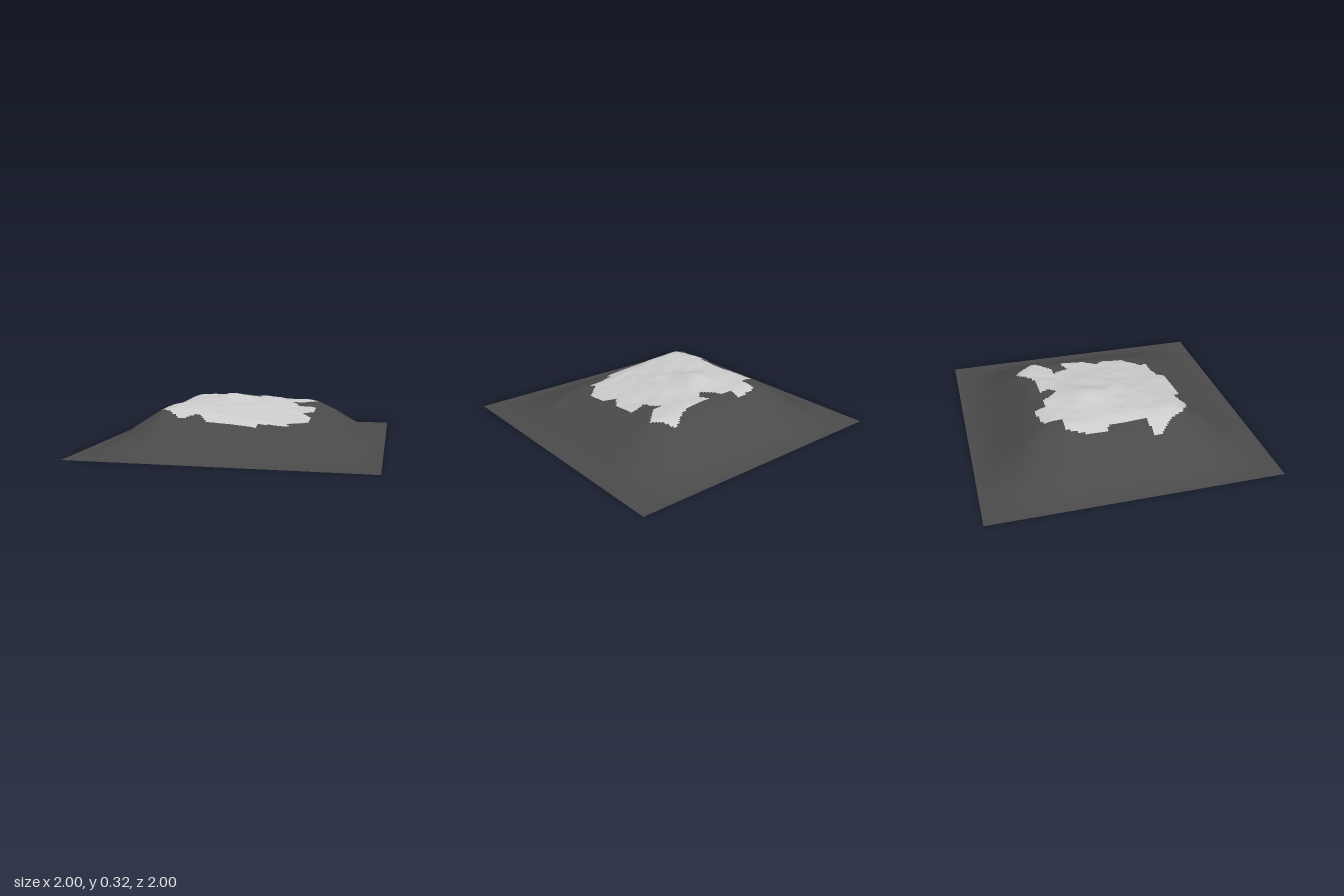
import * as THREE from 'three';

const CELLS = 128;

// Broad plateau heights: rows run back to front, columns run -x to +x
const PLATEAU = [
  [0.28, 0.29, 0.29, 0.26, 0.25],
  [0.28, 0.28, 0.275, 0.25, 0.24],
  [0.29, 0.28, 0.275, 0.215, 0.23],
  [0.30, 0.275, 0.235, 0.185, 0.20],
  [0.26, 0.23, 0.22, 0.19, 0.20],
];

// Outline of the pale summit patch (x, z)
const PATCH = [
  [-0.39, -0.5], [-0.2, -0.54], [-0.2, -0.46], [-0.12, -0.46], [-0.08, -0.4], [-0.03, -0.35],
  [0, -0.35], [0.03, -0.39], [0, -0.45], [0.2, -0.455], [0.27, -0.48], [0.38, -0.56],
  [0.42, -0.55], [0.44, -0.49], [0.5, -0.43], [0.36, -0.29], [0.3, -0.29], [0.33, -0.25],
  [0.36, -0.17], [0.45, -0.21], [0.48, -0.2], [0.48, -0.02], [0.42, 0.06], [0.48, 0.13],
  [0.48, 0.3], [0.36, 0.42], [0.38, 0.47], [0.17, 0.48], [0.17, 0.55], [-0.15, 0.55],
  [-0.24, 0.48], [-0.35, 0.54], [-0.48, 0.45], [-0.51, 0.38], [-0.62, 0.27], [-0.62, 0.2],
  [-0.5, 0.19], [-0.5, -0.07], [-0.55, -0.11], [-0.54, -0.24], [-0.5, -0.37], [-0.39, -0.38],
];

const { clamp, smoothstep, lerp } = THREE.MathUtils;

// Catmull-Rom interpolation through evenly spaced values
function spline(values, t) {
  const i = clamp(Math.floor(t), 0, values.length - 2);
  const f = t - i;
  const at = (k) => values[clamp(k, 0, values.length - 1)];
  const [a, b, c, d] = [at(i - 1), at(i), at(i + 1), at(i + 2)];
  return b + 0.5 * f * (c - a + f * (2 * a - 5 * b + 4 * c - d + f * (3 * (b - c) + d - a)));
}

function hash(i, j) {
  const s = Math.sin(i * 127.1 + j * 311.7) * 43758.5453;
  return (s - Math.floor(s)) * 2 - 1;
}

// Smooth value noise in -1..1
function noise(x, z) {
  const i = Math.floor(x), j = Math.floor(z);
  const u = smoothstep(x - i, 0, 1), v = smoothstep(z - j, 0, 1);
  return lerp(lerp(hash(i, j), hash(i + 1, j), u), lerp(hash(i, j + 1), hash(i + 1, j + 1), u), v);
}

function heightAt(x, z) {
  const edge = smoothstep(1 - Math.abs(x), 0, 0.6) * smoothstep(1 - Math.abs(z), 0, 0.6);
  const u = clamp((x + 0.8) / 0.4, 0, 4), v = clamp((z + 0.8) / 0.4, 0, 4);
  const base = spline(PLATEAU.map((row) => spline(row, u)), v);
  const peak = 0.037 * Math.exp(-((x + 0.15) ** 2 + (z + 0.15) ** 2) / 0.02);
  const rough = 0.006 * noise(x * 8, z * 8) + 0.003 * noise(x * 17 + 40, z * 17);
  return edge * (base + peak + rough);
}

function insidePatch(x, z) {
  let inside = false;
  PATCH.forEach(([ax, az], k) => {
    const [bx, bz] = PATCH[(k + 1) % PATCH.length];
    if (az > z !== bz > z && x < ax + ((z - az) * (bx - ax)) / (bz - az)) inside = !inside;
  });
  return inside;
}

export function createModel() {
  const model = new THREE.Group();
  model.name = 'hill';

  // One height field, so normals stay continuous across both surfaces
  const terrain = new THREE.PlaneGeometry(2, 2, CELLS, CELLS).rotateX(-Math.PI / 2);
  const pos = terrain.attributes.position;
  for (let i = 0; i < pos.count; i++) pos.setY(i, heightAt(pos.getX(i), pos.getZ(i)));
  terrain.computeVertexNormals();

  // Sort the grid squares into summit and slopes
  const slopes = [], summit = [];
  const index = terrain.index.array;
  for (let c = 0; c < CELLS * CELLS; c++) {
    const x = -1 + (2 * ((c % CELLS) + 0.5)) / CELLS;
    const z = -1 + (2 * (Math.floor(c / CELLS) + 0.5)) / CELLS;
    (insidePatch(x, z) ? summit : slopes).push(...index.slice(c * 6, c * 6 + 6));
  }

  const addSurface = (name, faces, color) => {
    const geometry = new THREE.BufferGeometry();
    geometry.setAttribute('position', pos);
    geometry.setAttribute('normal', terrain.attributes.normal);
    geometry.setIndex(faces);
    const material = new THREE.MeshStandardMaterial({ color, side: THREE.DoubleSide });
    const mesh = new THREE.Mesh(geometry, material);
    mesh.name = name;
    model.add(mesh);
  };
  addSurface('slopes', slopes, 0x4a4a4a);
  addSurface('summitPatch', summit, 0xcccccc);
  return model;
}
